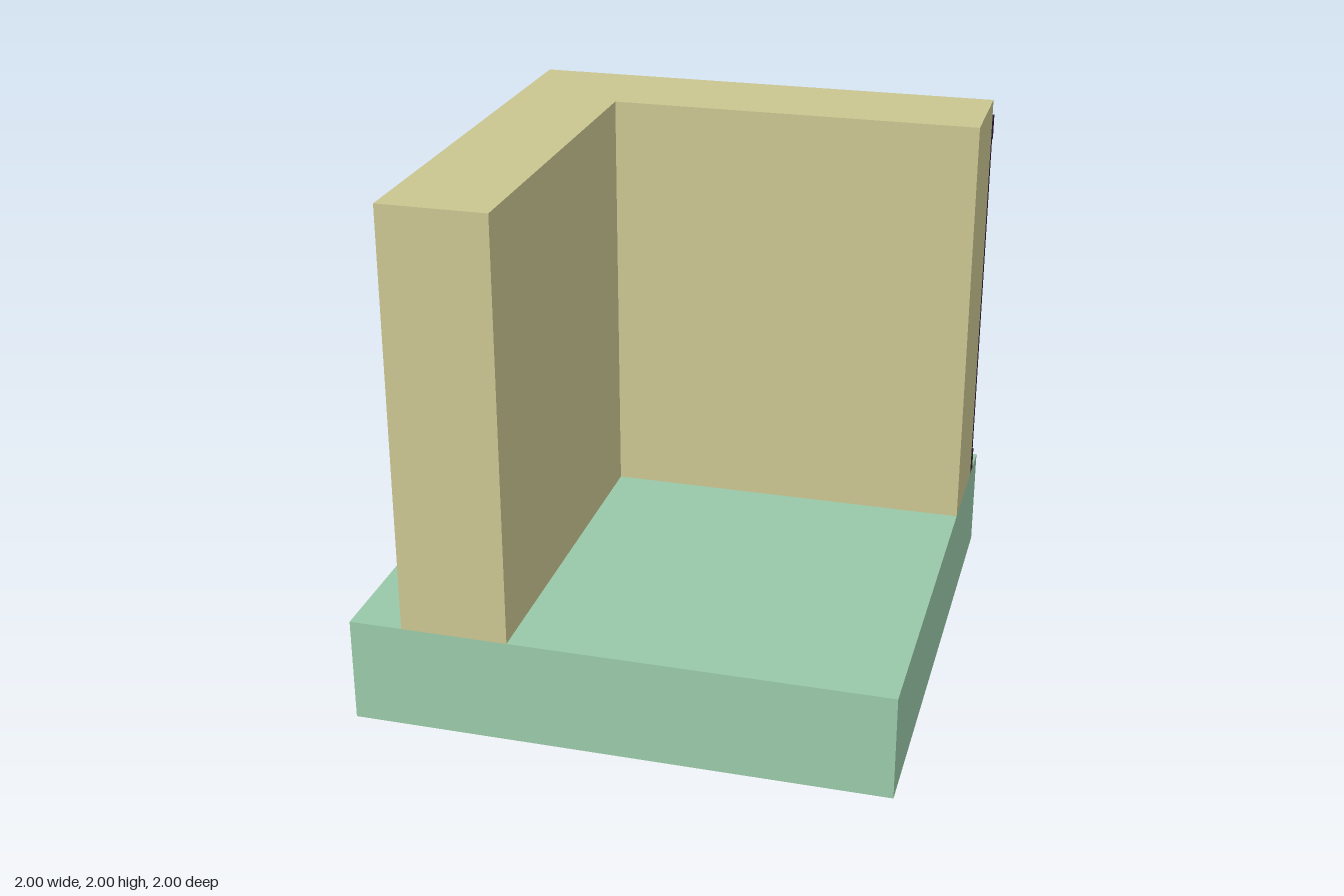
import * as THREE from 'three';

const material = (name, color) => {
  const m = new THREE.MeshStandardMaterial({ color });
  m.name = name;
  return m;
};

const shapeFrom = (points) => new THREE.Shape(points.map(([x, y]) => new THREE.Vector2(x, y)));

export function createModel() {
  const group = new THREE.Group();
  group.name = 'wallCornerWithDoor';

  const green = material('floorGreen', 0x98c8a8);
  const sand = material('wallSand', 0xc9c590);
  const plum = material('doorPlum', 0x35223a);

  const add = (name, geometry, mat, x = 0, y = 0, z = 0) => {
    const mesh = new THREE.Mesh(geometry, mat);
    mesh.name = name;
    mesh.position.set(x, y, z);
    group.add(mesh);
    return mesh;
  };
  const extrude = (points, depth) =>
    new THREE.ExtrudeGeometry(shapeFrom(points), { depth, bevelEnabled: false });

  // Floor slab
  add('floorSlab', new THREE.BoxGeometry(2, 0.4, 2), green, 0, 0.2, 0);

  // L-shaped wall, drawn in plan as (x, -z) and raised
  const plan = [[-0.8, -1], [-0.4, -1], [-0.4, 0.4], [1, 0.4], [1, 0.8], [-0.8, 0.8]];
  add('cornerWall', extrude(plan, 1.6).rotateX(-Math.PI / 2), sand, 0, 0.4, 0);

  // Half of an arched door, cut off at x = 1
  const outer = [[0.623, 1.58], [0.73, 1.81], [0.87, 1.9], [1, 1.925]];
  const inner = [[0.71, 1.58], [0.79, 1.74], [0.9, 1.81], [1, 1.83]];

  // Frame: sill, jamb and arch in one outline
  const frame = [[1, 0.4], [0.623, 0.4], ...outer, ...[...inner].reverse(), [0.71, 0.49], [1, 0.49]];
  add('doorFrame', extrude(frame, 0.065), plum, 0, 0, -0.865);

  // Recessed leaf
  const leaf = [[1, 0.49], [0.71, 0.49], ...inner];
  add('doorLeaf', extrude(leaf, 0.035), plum, 0, 0, -0.835);

  // Handle
  add('doorHandle', new THREE.BoxGeometry(0.12, 0.045, 0.025), plum, 0.855, 1.195, -0.8475);

  return group;
}
